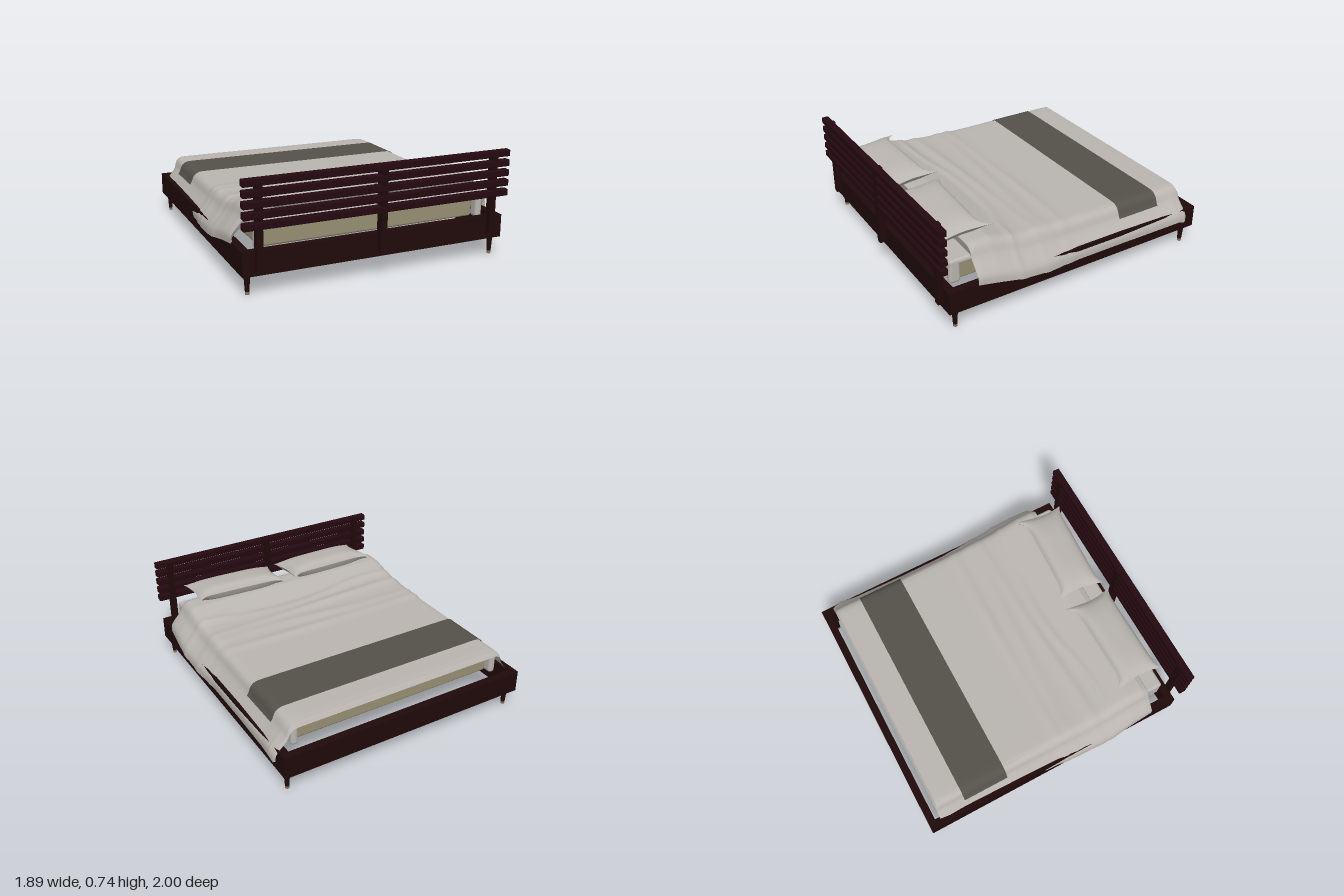
import * as THREE from 'three';
import { RoundedBoxGeometry } from 'three/addons/geometries/RoundedBoxGeometry.js';

const material = (name, color, side = THREE.FrontSide) => {
  const m = new THREE.MeshStandardMaterial({ color, side });
  m.name = name;
  return m;
};

// Smooth surface from a rule; u runs along x and v along z, both 0..1
function surface(nu, nv, rule, flip = false) {
  const pos = [], index = [];
  for (let j = 0; j <= nv; j++)
    for (let i = 0; i <= nu; i++) pos.push(...rule(i / nu, j / nv));
  for (let j = 0; j < nv; j++)
    for (let i = 0; i < nu; i++) {
      const a = j * (nu + 1) + i, b = a + 1, c = a + nu + 1, d = c + 1;
      index.push(...(flip ? [a, b, c, b, d, c] : [a, c, b, b, c, d]));
    }
  const g = new THREE.BufferGeometry();
  g.setAttribute('position', new THREE.Float32BufferAttribute(pos, 3));
  g.setIndex(index);
  g.computeVertexNormals();
  return g;
}

// Blanket sections from foot to head: z, top height, hem height, left flare, right flare
const SECTIONS = [
  [-0.912, 0.405, 0.21, 0.012, -0.03],
  [-0.895, 0.432, 0.20, 0.022, -0.03],
  [-0.84, 0.435, 0.215, 0.024, -0.03],
  [-0.72, 0.434, 0.205, 0.012, -0.03],
  [-0.35, 0.433, 0.20, 0.003, -0.015],
  [0, 0.435, 0.20, 0.003, 0],
  [0.25, 0.445, 0.205, 0.02, 0.018],
  [0.42, 0.457, 0.225, 0.028, 0.022],
  [0.52, 0.487, 0.245, 0.026, 0.014],
  [0.60, 0.51, 0.26, 0.02, 0.008],
  [0.71, 0.512, 0.275, 0.008, 0.002],
  [0.75, 0.495, 0.28, 0.004, 0],
  [0.735, 0.43, 0.28, -0.01, -0.015],
];

// Drape at the side: x and fraction of the drop from top to hem
const DRAPE = new THREE.CatmullRomCurve3(
  [[0.72, 0], [0.775, 0.01], [0.812, 0.1], [0.838, 0.35], [0.893, 0.65], [0.912, 0.8], [0.914, 1]]
    .map(([x, f]) => new THREE.Vector3(x, f, 0)));

// Across the bed, s = -1..1: flat in the middle half, then down the drape to the given reach
function across(s, reach) {
  if (Math.abs(s) <= 0.5) return { x: Math.abs(s) * 1.44, f: 0 };
  const p = DRAPE.getPoint((Math.abs(s) - 0.5) * 2 * reach);
  return { x: p.x, f: p.y };
}

const bump = (d, w) => Math.exp(-(d * d) / (w * w));

function blanketPoint(u, v) {
  const k = Math.min(v * (SECTIONS.length - 1), SECTIONS.length - 1.0001);
  const n = Math.floor(k), t = k - n;
  const [z, top, hem, left, right] = SECTIONS[n].map((a, i) => a + (SECTIONS[n + 1][i] - a) * t);
  const s = u * 2 - 1, side = Math.sign(s), { x: w, f } = across(s, 1);
  const x = side * (w + (side > 0 ? left : right) * f);
  // Rumpled folds crossing the bed below the pillows
  const fold = (0.013 * bump(z - 0.04 - 0.03 * x * x, 0.03)
    + 0.012 * bump(z - 0.16 - 0.03 * Math.sin(3 * x), 0.035)
    + 0.014 * bump(z - 0.29 + 0.05 * x, 0.035)
    + 0.012 * bump(z - 0.41 + 0.04 * Math.sin(4 * x + 1), 0.03)) * (0.75 + 0.25 * Math.sin(5 * x + z * 9));
  return [x + side * fold * f * 0.5, top + (hem - top) * f + fold * (1 - f), z];
}

// Runner laid over the blanket, following its drape
function runnerPoint(u, v) {
  const s = u * 2 - 1, { x, f } = across(s, 0.52);
  return [Math.sign(s) * (x + 0.012 * f), 0.438 - 0.235 * f, -0.71 + 0.33 * v];
}

// Pillow half: pinched edges, drawn-out corners
const pillowHalf = (dir) => surface(28, 20, (u, v) => {
  const a = u * 2 - 1, b = v * 2 - 1;
  const puff = Math.pow((1 - a ** 4) * (1 - b ** 4), 0.6);
  const x = a * 0.345 * (1 - 0.07 * (1 - b * b));
  const corner = Math.abs(a) ** 10 * Math.abs(b) ** 3;
  const z = b * 0.14 + corner * (b < 0 ? -0.08 : 0.02);
  const y = dir * puff * (dir > 0 ? 0.05 : 0.075) - b * 0.015;
  return [x, y, z];
}, dir < 0);

export function createModel() {
  const bed = new THREE.Group();
  bed.name = 'bed';
  const wood = material('dark wood', 0x200a0b);
  const slatWood = material('dark red wood', 0x240910);
  const linen = material('pale linen', 0xbab5b0, THREE.DoubleSide);
  const runnerCloth = material('charcoal cloth', 0x55514b, THREE.DoubleSide);
  const ticking = material('olive ticking', 0x989073);
  const tip = material('leg tip', 0x8a7560);

  const add = (name, geometry, mat, x = 0, y = 0, z = 0, parent = bed) => {
    const m = new THREE.Mesh(geometry, mat);
    m.name = name;
    m.position.set(x, y, z);
    parent.add(m);
    return m;
  };
  // Box given by its limits on each axis; a radius rounds its edges
  const box = (name, mat, [x0, x1], [y0, y1], [z0, z1], parent = bed, radius = 0) => {
    const size = [x1 - x0, y1 - y0, z1 - z0];
    const g = radius ? new RoundedBoxGeometry(...size, 3, radius) : new THREE.BoxGeometry(...size);
    return add(name, g, mat, (x0 + x1) / 2, (y0 + y1) / 2, (z0 + z1) / 2, parent);
  };

  // Bed frame
  const railY = [0.13, 0.285];
  box('footRail', wood, [-0.855, 0.855], railY, [-1, -0.947]);
  box('headRail', wood, [-0.855, 0.855], railY, [0.895, 0.95]);
  for (const s of [-1, 1]) {
    box('sideRail', wood, s < 0 ? [-0.91, -0.855] : [0.855, 0.91], railY, [-1, 0.95]);
    for (const z of [0.893, -0.937]) {
      add('leg', new THREE.CylinderGeometry(0.021, 0.014, 0.12, 16), wood, s * 0.865, 0.08, z);
      add('legTip', new THREE.CylinderGeometry(0.014, 0.013, 0.02, 16), tip, s * 0.865, 0.01, z);
    }
  }

  // Headboard
  const headboard = new THREE.Group();
  headboard.name = 'headboard';
  bed.add(headboard);
  for (let i = 0; i < 5; i++)
    add('slat', new RoundedBoxGeometry(1.83, 0.045, 0.05, 2, 0.007), slatWood, 0, 0.717 - i * 0.0663, 0.975, headboard);
  for (const x of [-0.81, 0, 0.81])
    box('post', wood, [x - 0.021, x + 0.021], [0.17, 0.735], [0.942, x ? 0.986 : 1], headboard);

  // Mattress, with a fitted sheet overhanging its ends and wrapping its corners
  box('mattress', ticking, [-0.76, 0.76], [0.255, 0.4], [-0.83, 0.815], bed, 0.015);
  box('sheetTop', linen, [-0.8, 0.8], [0.385, 0.43], [-0.89, 0.885], bed, 0.02);
  for (const s of [-1, 1])
    for (const [z0, z1] of [[-0.89, -0.81], [0.805, 0.885]])
      box('sheetCorner', linen, s < 0 ? [-0.8, -0.75] : [0.75, 0.8], [0.26, 0.43], [z0, z1], bed, 0.022);

  // Bedding
  add('blanket', surface(72, 120, blanketPoint), linen);
  add('runner', surface(48, 4, runnerPoint), runnerCloth);

  // Pillows
  for (const [x, turn] of [[-0.365, 0.02], [0.395, -0.05]]) {
    const pillow = new THREE.Group();
    pillow.name = 'pillow';
    pillow.position.set(x, 0.55, 0.74);
    pillow.rotation.y = turn;
    bed.add(pillow);
    for (const dir of [1, -1]) add(dir > 0 ? 'pillowTop' : 'pillowUnderside', pillowHalf(dir), linen, 0, 0, 0, pillow);
  }
  return bed;
}
